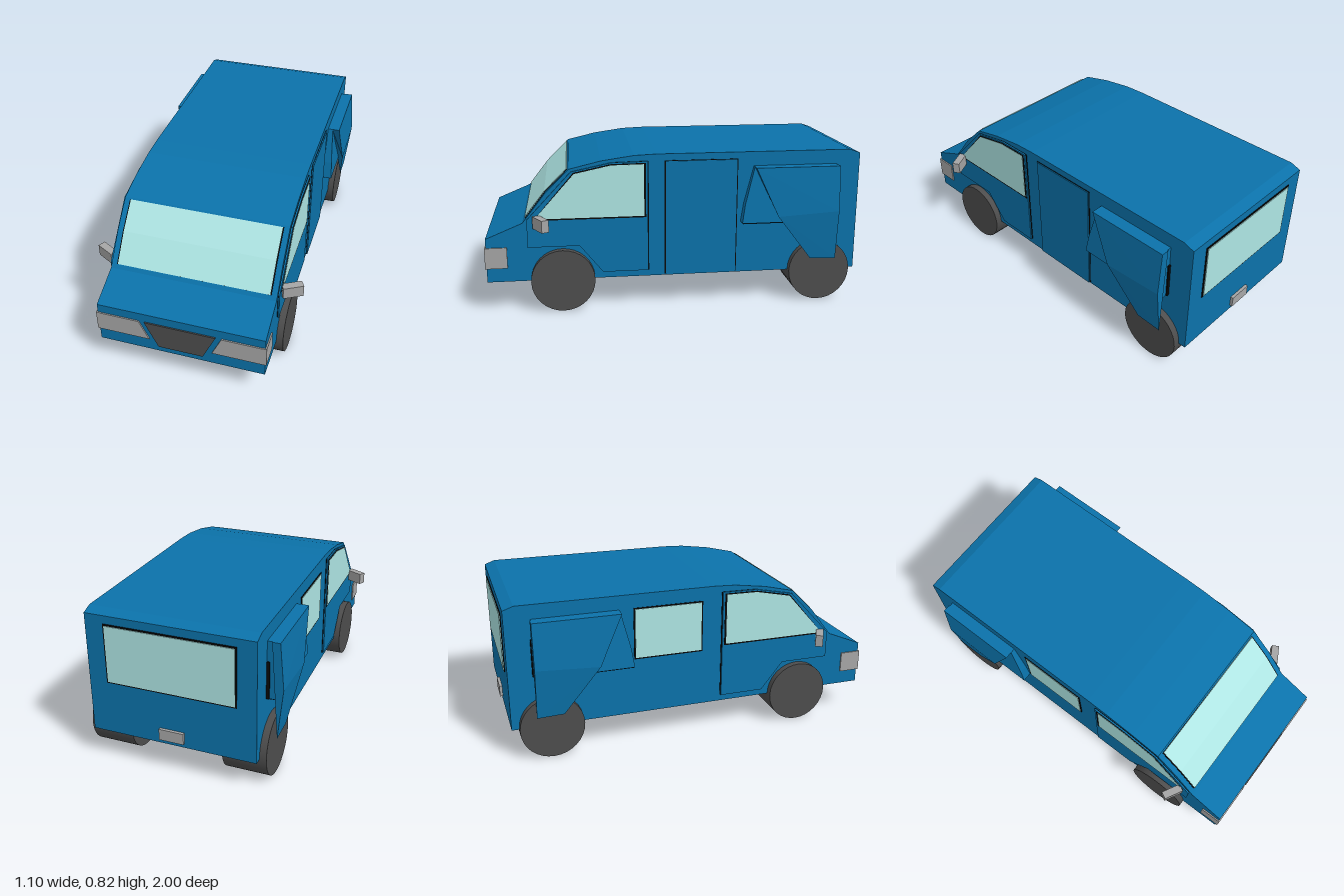
import * as THREE from 'three';
import { ConvexGeometry } from 'three/addons/geometries/ConvexGeometry.js';

const mat = (color) => new THREE.MeshStandardMaterial({ color, flatShading: true });

export function createModel() {
  const van = new THREE.Group();
  const blue = mat(0x0b72aa), black = mat(0x080808), glass = mat(0xaee6e4);
  const dark = mat(0x4d4d4d), grey = mat(0xa6a6a6);
  const tyre = new THREE.MeshStandardMaterial({ color: 0x4d4d4d });

  const add = (name, geometry, material) => {
    const mesh = new THREE.Mesh(geometry, material);
    mesh.name = name;
    van.add(mesh);
    return mesh;
  };
  const shapeOf = (pts) => new THREE.Shape(pts.map(([a, b]) => new THREE.Vector2(a, b)));

  // Extrudes a [z, y] outline across x, from x0 to x1
  const across = (name, pts, x0, x1, material) => {
    const g = new THREE.ExtrudeGeometry(shapeOf(pts), { depth: x1 - x0, bevelEnabled: false });
    g.rotateY(-Math.PI / 2).translate(x1, 0, 0);
    return add(name, g, material);
  };
  // Same outline on one flank; s is +1 or -1
  const flank = (name, pts, s, inner, outer, material) =>
    across(name, pts, s > 0 ? inner : -outer, s > 0 ? outer : -inner, material);
  // Extrudes an [x, y] outline along z, from z0 to z1
  const along = (name, pts, z0, z1, material) => {
    const g = new THREE.ExtrudeGeometry(shapeOf(pts), { depth: z1 - z0, bevelEnabled: false });
    return add(name, g.translate(0, 0, z0), material);
  };
  const rect = (a0, a1, b0, b1) => [[a0, b0], [a1, b0], [a1, b1], [a0, b1]];
  const hull = (name, pts, s, material) =>
    add(name, new ConvexGeometry(pts.map(([x, y, z]) => new THREE.Vector3(x * s, y, z))), material);

  // Body shell
  across('body', [
    [0.993, 0.165], [0.993, 0.4], [0.8, 0.48], [0.68, 0.633], [0.555, 0.757], [0.39, 0.796],
    [0.22, 0.82], [0.1, 0.825], [-0.93, 0.825], [-0.985, 0.805], [-0.985, 0.165],
  ], -0.435, 0.435, blue);

  // Windscreen with dark seal, following the slope
  const slope = [[0.785, 0.499], [0.68, 0.633], [0.562, 0.75]];
  const strip = (t) => [...slope.map(([z, y]) => [z + t, y + t]),
    ...slope.slice().reverse().map(([z, y]) => [z - 0.01, y - 0.01])];
  across('windscreenSeal', strip(0.002), -0.406, 0.406, black);
  across('windscreen', strip(0.004), -0.4, 0.4, glass);

  // Grille and rear fittings
  along('grille', [[-0.185, 0.35], [-0.117, 0.2], [0.117, 0.2], [0.185, 0.35]], 0.98, 1.0, dark);
  along('rearWindowSeal', rect(-0.338, 0.338, 0.448, 0.763), -0.989, -0.97, black);
  along('rearWindow', rect(-0.33, 0.33, 0.456, 0.755), -0.993, -0.97, glass);
  along('rearPlate', rect(-0.065, 0.065, 0.19, 0.25), -1.0, -0.97, grey);

  for (const s of [1, -1]) {
    // Headlight wrapping round the corner
    const lamp = [[0.215, 0.35], [0.165, 0.24], [0.442, 0.24], [0.442, 0.35]];
    along('headlight', lamp.map(([x, y]) => [x * s, y]), 0.98, 1.0, grey);
    flank('headlightSide', rect(0.885, 1.0, 0.24, 0.352), s, 0.42, 0.442, grey);

    // Front door over a dark gap
    const door = [[0.778, 0.497], [0.778, 0.35], [0.51, 0.35], [0.39, 0.2], [0.15, 0.2],
      [0.15, 0.79], [0.34, 0.787], [0.545, 0.745]];
    flank('doorGap', door.map(([z, y]) => [z - 0.005, y]), s, 0.42, 0.438, black);
    flank('frontDoor', door, s, 0.438, 0.445, blue);
    flank('doorWindowSeal', [[0.745, 0.493], [0.16, 0.493], [0.16, 0.782], [0.34, 0.78], [0.533, 0.74]],
      s, 0.43, 0.4465, black);
    flank('doorWindow', [[0.738, 0.501], [0.17, 0.501], [0.17, 0.776], [0.34, 0.774], [0.53, 0.734]],
      s, 0.43, 0.448, glass);

    // Wing mirror, turned backwards
    const mirror = add('wingMirror', new THREE.BoxGeometry(0.105, 0.064, 0.04), grey);
    mirror.position.set(0.492 * s, 0.487, 0.705);
    mirror.rotation.y = 0.5 * s;

    // Side air scoop: inner duct and folded outer plate
    hull('scoopDuct', [
      [0.43, 0.75, -0.41], [0.462, 0.75, -0.41], [0.43, 0.55, -0.36], [0.478, 0.55, -0.36],
      [0.43, 0.45, -0.345], [0.487, 0.45, -0.345], [0.43, 0.45, -0.855], [0.487, 0.45, -0.855],
      [0.43, 0.75, -0.855], [0.462, 0.75, -0.855],
    ], s, blue);
    hull('scoopPlate', [
      [0.46, 0.75, -0.41], [0.5, 0.75, -0.41], [0.46, 0.75, -0.86], [0.5, 0.75, -0.86],
      [0.52, 0.49, -0.53], [0.52, 0.51, -0.86], [0.492, 0.245, -0.72], [0.492, 0.24, -0.86],
    ], s, blue);
    flank('scoopUnderside', rect(-0.85, -0.35, 0.445, 0.452), s, 0.43, 0.48, black);
    flank('scoopOutlet', rect(-0.862, -0.85, 0.45, 0.645), s, 0.43, 0.45, black);

    // Wheels
    for (const z of [0.6, -0.78]) {
      const wheel = add('wheel', new THREE.CylinderGeometry(0.167, 0.167, 0.228, 32), tyre);
      wheel.rotation.z = Math.PI / 2;
      wheel.position.set(0.356 * s, 0.168, z);
    }
  }

  // Sliding door on one side, long window on the other
  flank('slidingDoorGap', rect(-0.326, 0.062, 0.172, 0.79), 1, 0.42, 0.437, black);
  flank('slidingDoor', rect(-0.32, 0.055, 0.168, 0.787), 1, 0.43, 0.443, blue);
  flank('middleWindowSeal', rect(-0.335, 0.04, 0.472, 0.752), -1, 0.42, 0.438, black);
  flank('middleWindow', rect(-0.327, 0.032, 0.48, 0.745), -1, 0.42, 0.441, glass);

  return van;
}
